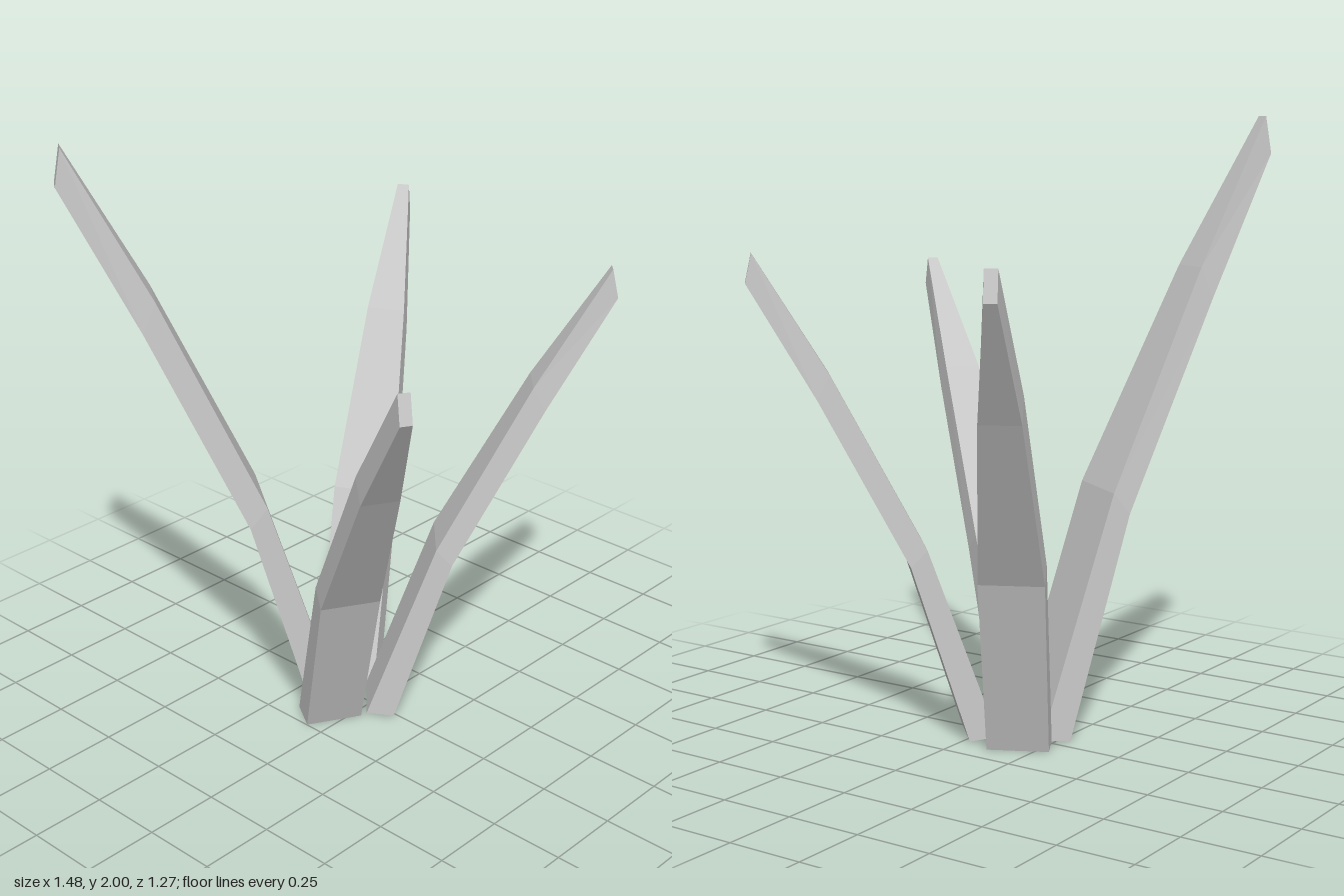
import * as THREE from 'three';

// Blade cross-sections: inner edge (reach, height), outer edge (reach, height), width
const SECTIONS = [
  { inner: [0, 0.012], outer: [0.092, 0], width: 0.2 },
  { inner: [0.227, 0.635], outer: [0.28, 0.58], width: 0.207 },
  { inner: [0.528, 1.195], outer: [0.568, 1.115], width: 0.13 },
  { inner: [0.765, 1.575], outer: [0.785, 1.48], width: 0.04 },
];
const REACH = 0.765;

// Inner base centre and inner tip centre in plan [x, z], with height and width scale
const BLADES = [
  { name: 'tallBackBlade', base: [-0.04, -0.13], tip: [-0.705, -0.6], height: 1.27, width: 1.27 },
  { name: 'backLeftBlade', base: [0.045, -0.16], tip: [0.72, -0.51], height: 1, width: 1 },
  { name: 'frontLeftBlade', base: [0, -0.022], tip: [0.52, 0.538], height: 1, width: 1 },
  { name: 'frontRightBlade', base: [-0.117, -0.103], tip: [-0.53, 0.61], height: 0.957, width: 0.95 },
];

// Four-sided blade leaning toward +x, lofted through the sections
function bladeGeometry() {
  const positions = [];
  const index = [];
  for (const { inner, outer, width } of SECTIONS) {
    const w = width / 2;
    positions.push(...inner, -w, ...inner, w, ...outer, w, ...outer, -w);
  }
  for (let i = 0; i < SECTIONS.length - 1; i++) {
    for (let j = 0; j < 4; j++) {
      const a = i * 4 + j;
      const b = i * 4 + (j + 1) % 4;
      index.push(a, b, b + 4, a, b + 4, a + 4);
    }
  }
  // Base and tip caps
  const t = (SECTIONS.length - 1) * 4;
  index.push(0, 3, 2, 0, 2, 1, t, t + 1, t + 2, t, t + 2, t + 3);

  const indexed = new THREE.BufferGeometry();
  indexed.setAttribute('position', new THREE.Float32BufferAttribute(positions, 3));
  indexed.setIndex(index);
  const geometry = indexed.toNonIndexed();
  geometry.computeVertexNormals();
  return geometry;
}

export function createModel() {
  const group = new THREE.Group();
  group.name = 'bladePlant';
  const geometry = bladeGeometry();
  const material = new THREE.MeshStandardMaterial({ color: 0xcccccc, flatShading: true });

  // Each blade is turned from its base toward its tip
  for (const { name, base, tip, height, width } of BLADES) {
    const dx = tip[0] - base[0];
    const dz = tip[1] - base[1];
    const blade = new THREE.Mesh(geometry, material);
    blade.name = name;
    blade.position.set(base[0], 0, base[1]);
    blade.rotation.y = Math.atan2(-dz, dx);
    blade.scale.set(Math.hypot(dx, dz) / REACH, height, width);
    group.add(blade);
  }
  return group;
}
